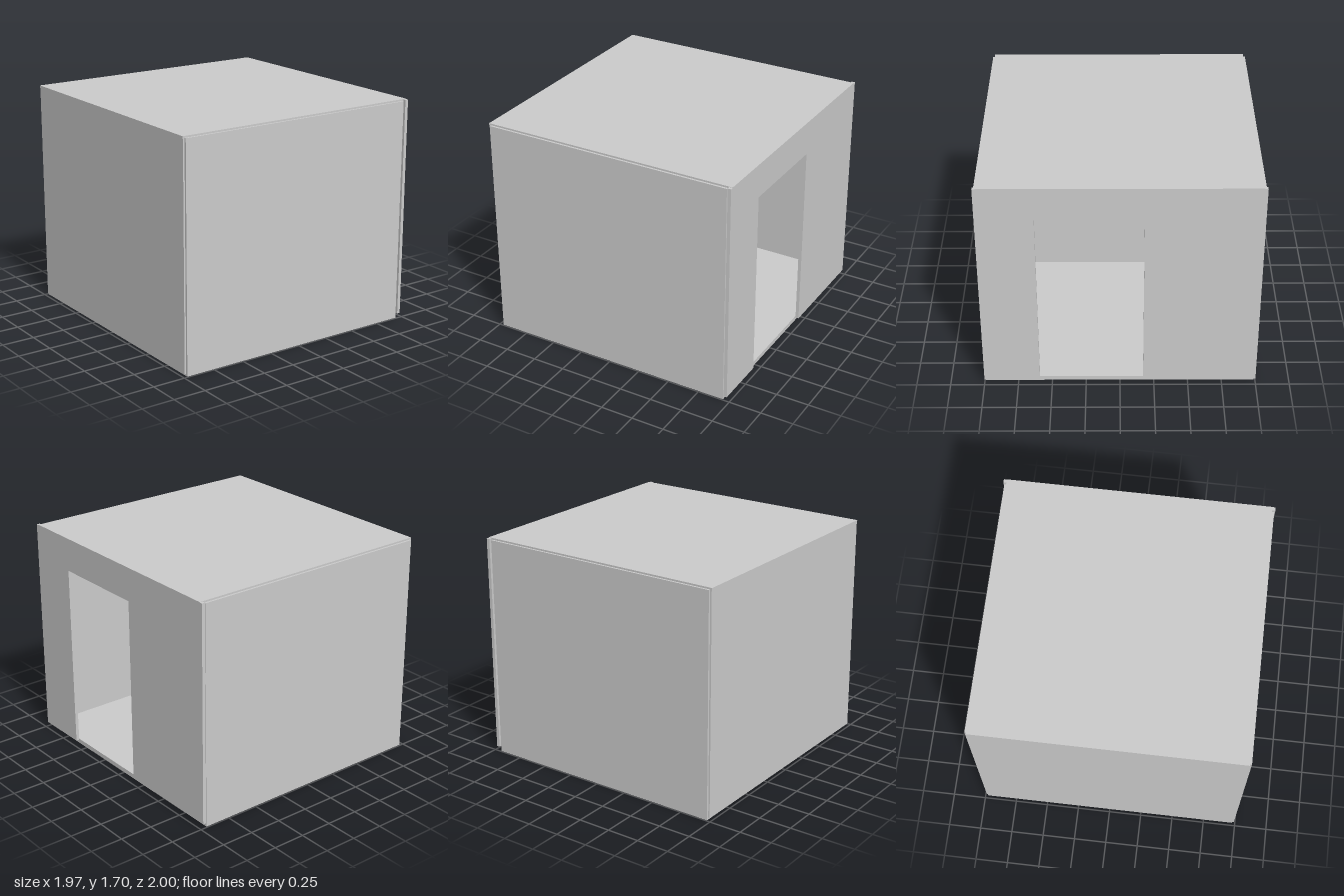
import * as THREE from 'three';

const material = new THREE.MeshStandardMaterial({ color: 0xcccccc });

function add(parent, name, geometry) {
  const mesh = new THREE.Mesh(geometry, material);
  mesh.name = name;
  parent.add(mesh);
  return mesh;
}

// Box given by its limits along x, y and z
function slab(parent, name, [x0, x1], [y0, y1], [z0, z1]) {
  const mesh = add(parent, name, new THREE.BoxGeometry(x1 - x0, y1 - y0, z1 - z0));
  mesh.position.set((x0 + x1) / 2, (y0 + y1) / 2, (z0 + z1) / 2);
  return mesh;
}

// Small bottle with a rounded shoulder and a cap of a chosen style
function bottle(parent, z, style) {
  const group = new THREE.Group();
  group.name = 'bottle';
  const profile = [[0, 0], [0.023, 0], [0.023, 0.035], [0.02, 0.046], [0.013, 0.053], [0, 0.055]];
  add(group, 'bottleBody', new THREE.LatheGeometry(profile.map(p => new THREE.Vector2(...p)), 20));
  if (style === 'pump') {
    add(group, 'pumpStem', new THREE.CylinderGeometry(0.006, 0.006, 0.03, 12)).position.y = 0.064;
    slab(group, 'pumpSpout', [-0.006, 0.03], [0.072, 0.08], [-0.006, 0.01]);
  } else if (style === 'dome') {
    const dome = add(group, 'domeCap', new THREE.SphereGeometry(0.017, 16, 10));
    dome.position.y = 0.054;
  } else {
    add(group, 'cap', new THREE.CylinderGeometry(0.012, 0.014, 0.012, 16)).position.y = 0.055;
  }
  group.position.set(-0.7, 0.74, z);
  parent.add(group);
}

export function createModel() {
  const room = new THREE.Group();
  room.name = 'room';

  // Floor, roof and plain walls
  slab(room, 'floor', [-0.97, 0.945], [0, 0.035], [-0.992, 0.992]);
  slab(room, 'roof', [-0.985, 0.98], [1.685, 1.703], [-0.977, 0.977]);
  slab(room, 'leftSideWall', [-0.982, -0.966], [0.015, 1.685], [-0.977, 0.977]);
  for (const [name, side] of [['frontWall', 1], ['backWall', -1]]) {
    const wall = slab(room, name, [-0.97, 0.945], [0.035, 1.69], [0.973, 0.992]);
    wall.position.z *= side;
  }

  // Wall with the doorway, standing clear of the floor
  const outline = new THREE.Shape([
    [-1, 0.035], [-0.59, 0.035], [-0.59, 1.45], [0.17, 1.45],
    [0.17, 0.035], [1, 0.035], [1, 1.7], [-1, 1.7],
  ].map(p => new THREE.Vector2(...p)));
  const doorWall = add(room, 'doorWall', new THREE.ExtrudeGeometry(outline, { depth: 0.025, bevelEnabled: false }));
  doorWall.rotation.y = Math.PI / 2;
  doorWall.position.x = 0.955;

  // Counter along the far wall with a mirror above it
  slab(room, 'counter', [-0.966, -0.5], [0.035, 0.74], [-0.973, 0.973]);
  slab(room, 'mirror', [-0.966, -0.95], [1.02, 1.39], [-0.6, 0.555]);
  slab(room, 'backWallPanel', [-0.4, 0.75], [0.71, 1.39], [-0.973, -0.965]);

  // Bottles on the counter
  [[0.535, 'pump'], [0.45, 'dome'], [0.37, 'cap'], [0.28, 'cap']]
    .forEach(([z, style]) => bottle(room, z, style));

  // Stacked boxes on the counter
  slab(room, 'lowerBox', [-0.86, -0.58], [0.74, 0.818], [-0.4, -0.06]);
  slab(room, 'middleBox', [-0.86, -0.58], [0.822, 0.89], [-0.4, -0.06]);
  slab(room, 'boxSupport', [-0.8, -0.64], [0.89, 0.93], [-0.34, -0.19]);
  slab(room, 'upperBox', [-0.84, -0.6], [0.93, 1.0], [-0.37, -0.1]);

  return room;
}
